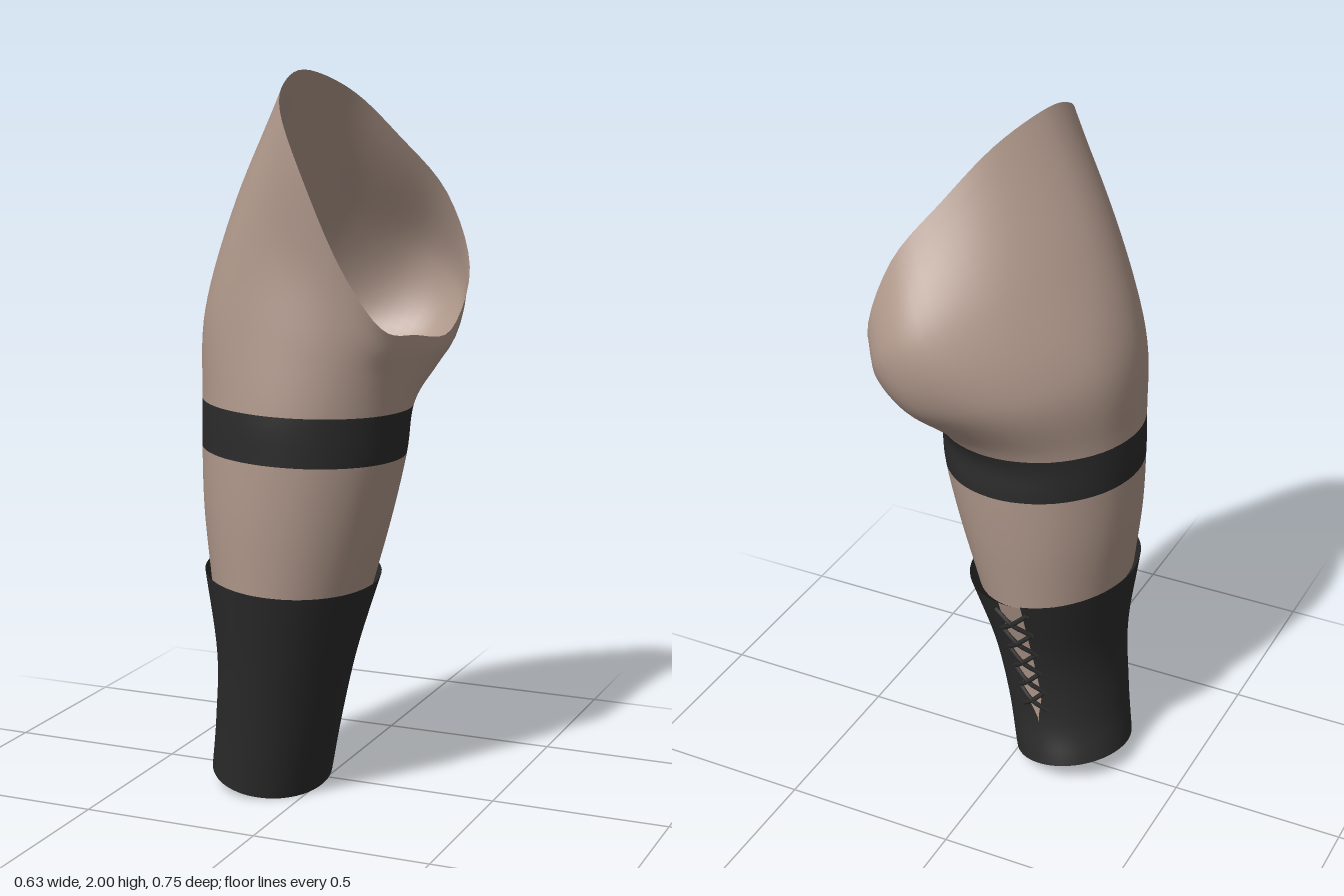
import * as THREE from 'three';
import { mergeVertices } from 'three/addons/utils/BufferGeometryUtils.js';

// Closed ring through points spaced by azimuth, from +x towards +z
const ring = (pts) => new THREE.CatmullRomCurve3(pts.map((p) => new THREE.Vector3(...p)), true, 'catmullrom', 0.5);

// Elliptical ring from its x and z limits, tilted by tx and tz
function oval(y, x0, x1, z0, z1, tx = 0, tz = 0) {
  const pts = [];
  for (let k = 0; k < 12; k++) {
    const c = Math.cos((k * Math.PI) / 6), s = Math.sin((k * Math.PI) / 6);
    pts.push([(x0 + x1) / 2 + ((x1 - x0) / 2) * c, y + tx * c + tz * s, (z0 + z1) / 2 + ((z1 - z0) / 2) * s]);
  }
  return ring(pts);
}

// Point on the surface lofted through the rings; u runs round, v runs up (0..1)
function loftPoint(rings, u, v) {
  const uu = ((u % 1) + 1) % 1;
  return new THREE.CatmullRomCurve3(rings.map((r) => r.getPoint(uu)), false, 'catmullrom', 0.5).getPoint(v);
}

// Grid of surface points turned into a smooth mesh
function sheet(name, material, nu, nv, at) {
  const pos = [], idx = [];
  for (let j = 0; j <= nv; j++)
    for (let i = 0; i <= nu; i++) pos.push(...at(i / nu, j / nv).toArray());
  for (let j = 0; j < nv; j++)
    for (let i = 0; i < nu; i++) {
      const a = j * (nu + 1) + i, b = a + 1, c = a + nu + 1, d = c + 1;
      idx.push(a, c, b, b, c, d);
    }
  let geo = new THREE.BufferGeometry();
  geo.setAttribute('position', new THREE.Float32BufferAttribute(pos, 3));
  geo.setIndex(idx);
  geo = mergeVertices(geo, 1e-5);
  geo.computeVertexNormals();
  const mesh = new THREE.Mesh(geo, material);
  mesh.name = name;
  return mesh;
}

export function createModel() {
  const group = new THREE.Group();
  group.name = 'leg';
  const skin = new THREE.MeshStandardMaterial({ color: 0xb0988b, side: THREE.DoubleSide });
  skin.name = 'skin';
  const black = new THREE.MeshStandardMaterial({ color: 0x2b2b2b, side: THREE.DoubleSide });
  black.name = 'black';

  // Upper thigh rings: hip bulge, then the slanted open rim
  const hipLow = ring([
    [0.285, 1.2, 0.08], [0.24, 1.21, 0.235], [0.135, 1.25, 0.325], [-0.01, 1.32, 0.348],
    [-0.17, 1.36, 0.315], [-0.265, 1.36, 0.22], [-0.298, 1.37, 0.08], [-0.262, 1.35, -0.09],
    [-0.13, 1.32, -0.25], [0.03, 1.3, -0.335], [0.18, 1.25, -0.315], [0.275, 1.2, -0.15],
  ]);
  const hipHigh = ring([
    [0.292, 1.26, 0.08], [0.25, 1.28, 0.245], [0.155, 1.38, 0.315], [0.03, 1.52, 0.328],
    [-0.1, 1.62, 0.31], [-0.175, 1.66, 0.21], [-0.195, 1.66, 0.07], [-0.135, 1.62, -0.09],
    [-0.02, 1.56, -0.25], [0.14, 1.48, -0.365], [0.265, 1.36, -0.335], [0.303, 1.25, -0.17],
  ]);
  const rim = ring([
    [0.29, 1.305, 0.08], [0.255, 1.34, 0.24], [0.17, 1.5, 0.31], [0.08, 1.72, 0.34],
    [0, 1.9, 0.31], [-0.03, 1.98, 0.2], [-0.02, 2, 0.07], [0.05, 1.94, -0.07],
    [0.14, 1.82, -0.175], [0.25, 1.66, -0.265], [0.308, 1.45, -0.3], [0.308, 1.29, -0.15],
  ]);
  const leg = [
    oval(0.6, -0.28, 0.155, -0.155, 0.352, -0.02),
    oval(0.8, -0.304, 0.21, -0.185, 0.365, -0.015),
    oval(0.977, -0.312, 0.25, -0.203, 0.37, -0.012),
    oval(1.11, -0.312, 0.268, -0.21, 0.37, -0.01),
    hipLow, hipHigh, rim,
  ];
  const legPart = (name, mat, from, to) =>
    sheet(name, mat, 60, 8 * (to - from), (u, v) => loftPoint(leg, u, (from + (to - from) * v) / 6));
  group.add(legPart('lowerLeg', skin, 0, 2), legPart('thighBand', black, 2, 3), legPart('upperThigh', skin, 3, 6));

  // Boot shaft, split at the back by a gap that closes lower down
  const boot = [
    oval(0.035, -0.312, 0.02, -0.14, 0.25, -0.025, -0.025),
    oval(0.2, -0.285, 0.065, -0.11, 0.282),
    oval(0.4, -0.27, 0.112, -0.13, 0.322),
    oval(0.63, -0.302, 0.172, -0.205, 0.37, -0.022, -0.01),
  ];
  const back = 0.757;
  const gap = (v) => 0.024 * THREE.MathUtils.smoothstep(v, 0.3, 0.5);
  group.add(sheet('bootShaft', black, 60, 24, (u, v) =>
    loftPoint(boot, back + gap(v) + u * (1 - 2 * gap(v)), v)));

  // Flat underside of the boot
  const centre = new THREE.Vector3(-0.146, 0.035, 0.055);
  group.add(sheet('bootBase', black, 60, 1, (u, v) => loftPoint(boot, u, 0).lerp(centre, v * 0.999)));

  // Skin seen through the gap
  group.add(sheet('skinBehindLaces', skin, 6, 12, (u, v) => {
    const p = loftPoint(boot, back - 0.04 + 0.08 * u, 0.28 + 0.7 * v);
    p.z += 0.012;
    return p;
  }));

  // Crossed laces over the gap
  const laces = new THREE.Group();
  laces.name = 'laces';
  const rows = 5;
  for (let i = 0; i < rows; i++)
    for (const side of [-1, 1]) {
      const pts = [0, 0.5, 1].map((t) => {
        const p = loftPoint(boot, back + side * 0.036 * (2 * t - 1), 0.4 + (0.56 * (i + t)) / rows);
        p.z -= t === 0.5 ? 0.014 : 0.004;
        return p;
      });
      const lace = new THREE.Mesh(new THREE.TubeGeometry(new THREE.CatmullRomCurve3(pts), 6, 0.007, 6), black);
      lace.name = 'lace';
      laces.add(lace);
    }
  group.add(laces);
  return group;
}
